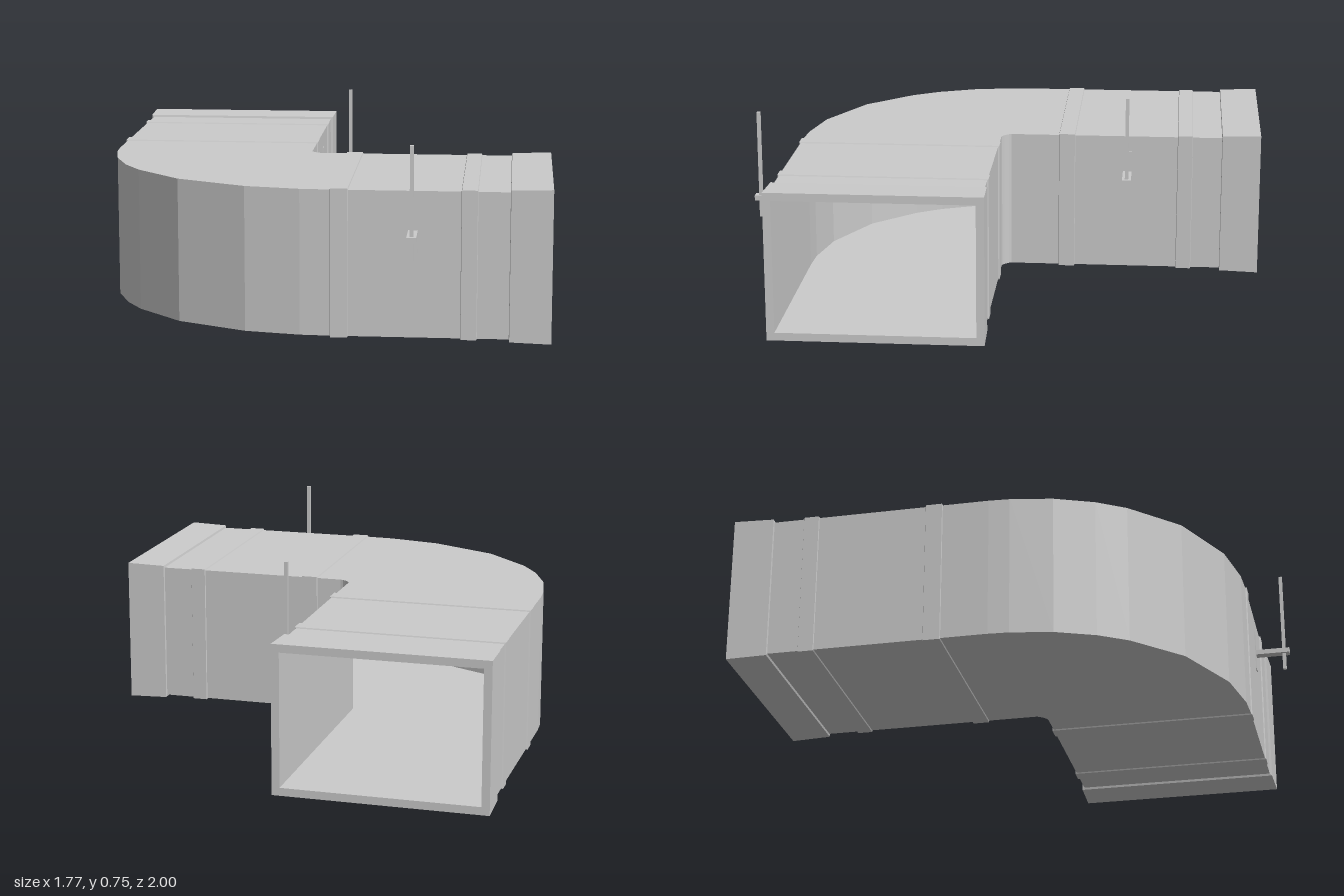
import * as THREE from 'three';

const LOW = 0.013, HIGH = 0.567; // bottom and top of the plain duct body
const WALL = 0.018;

// [distance from the opening, how far the surface is raised]: end flange, then two seam bands
const ARM = [
  [0, 0.013], [0.155, 0.009], [0.157, 0],
  [0.275, 0], [0.277, 0.005], [0.335, 0.005], [0.337, 0],
  [0.755, 0], [0.757, 0.005], [0.82, 0.005], [0.822, 0],
];

// Elbow stations: inner x, inner z, outer x, outer z
const BEND = [
  [-0.035, 0.055, -0.05, 0.85], [-0.045, 0.053, -0.26, 0.81],
  [-0.058, 0.045, -0.53, 0.68], [-0.068, 0.035, -0.71, 0.5],
  [-0.075, 0.027, -0.78, 0.39], [-0.08, 0.017, -0.84, 0.24],
  [-0.08, 0.01, -0.87, 0.08], [-0.08, 0, -0.875, 0],
];

// Four corners of the duct at one station, grown by "raise"
function ring([ix, iz, ox, oz], raise) {
  const inner = new THREE.Vector2(ix, iz), outer = new THREE.Vector2(ox, oz);
  const out = outer.clone().sub(inner).setLength(raise === 0 ? 1 : Math.abs(raise));
  out.multiplyScalar(Math.sign(raise));
  outer.add(out);
  inner.sub(out);
  const lo = LOW - raise, hi = HIGH + raise;
  return [
    [outer.x, lo, outer.y], [outer.x, hi, outer.y],
    [inner.x, hi, inner.y], [inner.x, lo, inner.y],
  ];
}

function ductGeometry() {
  const stations = [
    ...ARM.map(([d, r]) => [[0.885 - d, 0.055, 0.885 - d, 0.855], r]),
    ...BEND.map((s) => [s, 0]),
    ...[...ARM].reverse().map(([d, r]) => [[-0.08, d - 1, -0.875, d - 1], r]),
  ];
  // Outer skin, then the lining back to the start; the joins form the rims
  const skin = stations.map(([s, r]) => ring(s, r));
  const lining = stations.map(([s]) => ring(s, -WALL)).reverse();
  const loop = [...skin, ...lining];
  const pos = [];
  loop.forEach((a, i) => {
    const b = loop[(i + 1) % loop.length];
    for (let k = 0; k < 4; k++) {
      const n = (k + 1) % 4;
      pos.push(...a[k], ...a[n], ...b[n], ...a[k], ...b[n], ...b[k]);
    }
  });
  const geo = new THREE.BufferGeometry();
  geo.setAttribute('position', new THREE.Float32BufferAttribute(pos, 3));
  geo.computeVertexNormals();
  return geo;
}

export function createModel() {
  const model = new THREE.Group();
  model.name = 'ductElbow';
  const material = new THREE.MeshStandardMaterial({ color: 0xcccccc, flatShading: true });

  const duct = new THREE.Mesh(ductGeometry(), material);
  duct.name = 'duct';
  model.add(duct);

  // Hanger: wall plate, horizontal arm and upright rod, pointing along +z from the wall
  function hanger(name, x, z, turn) {
    const group = new THREE.Group();
    group.name = name;
    const box = (part, w, h, d, y, pz) => {
      const mesh = new THREE.Mesh(new THREE.BoxGeometry(w, h, d), material);
      mesh.name = part;
      mesh.position.set(0, y, pz);
      group.add(mesh);
    };
    box('wallPlate', 0.036, 0.17, 0.006, 0.42, 0);
    box('bracketArm', 0.036, 0.02, 0.142, 0.41, 0.07);
    box('hangerRod', 0.014, 0.425, 0.014, 0.5425, 0.118);
    group.position.set(x, 0, z);
    group.rotation.y = turn;
    model.add(group);
  }
  hanger('frontHanger', 0.371, 0.855, 0);
  hanger('innerHanger', -0.079, -0.459, Math.PI / 2);

  return model;
}
